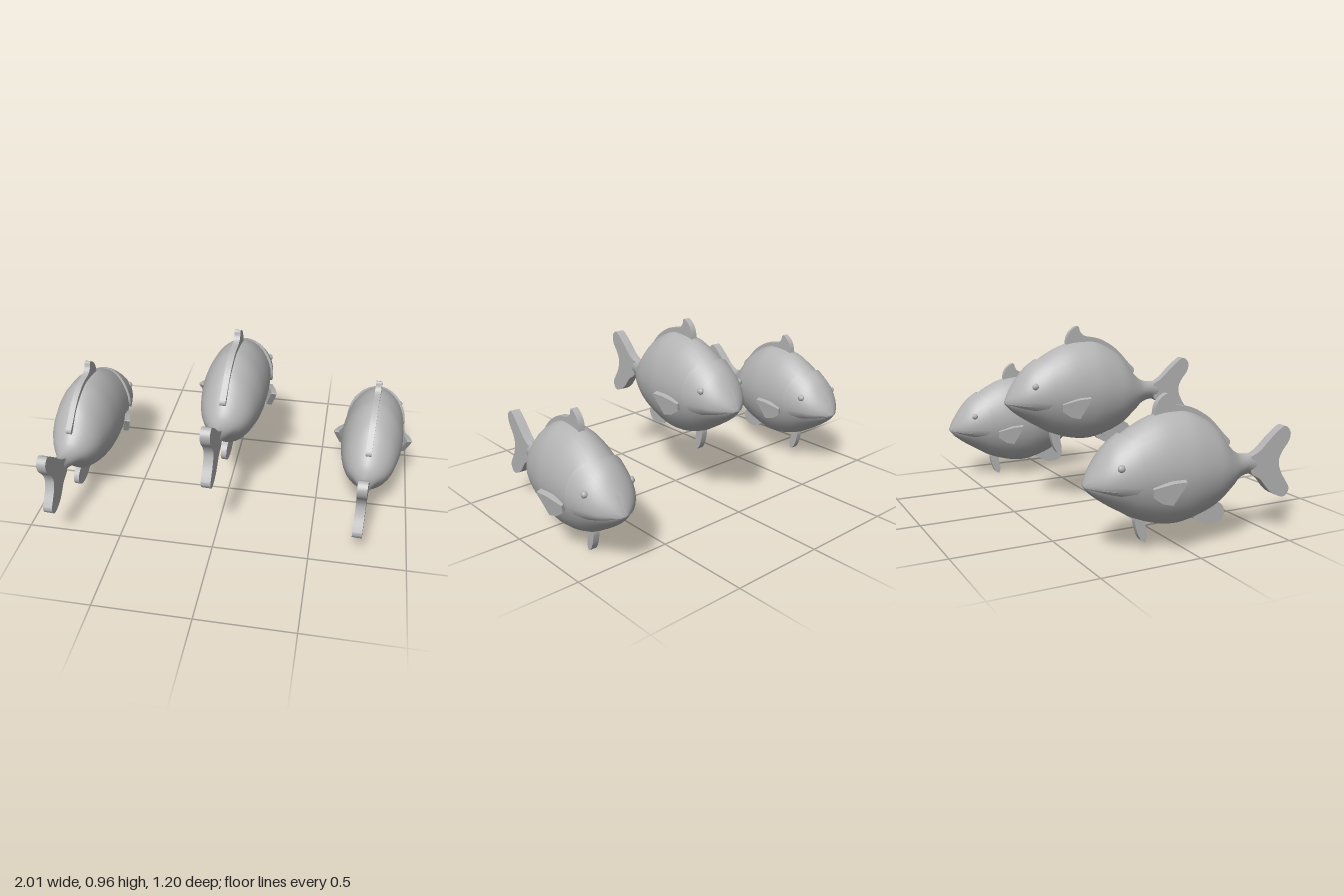
import * as THREE from 'three';
import { toCreasedNormals } from 'three/addons/utils/BufferGeometryUtils.js';

// Body stations from nose to tail root: z, top y, bottom y, half width
const STATIONS = [
  [-0.6, 0.302, 0.288, 0.014], [-0.585, 0.335, 0.268, 0.04], [-0.54, 0.4, 0.23, 0.088],
  [-0.484, 0.463, 0.192, 0.12], [-0.427, 0.505, 0.158, 0.139], [-0.36, 0.548, 0.12, 0.152],
  [-0.267, 0.588, 0.088, 0.163], [-0.17, 0.6, 0.073, 0.167], [-0.08, 0.59, 0.086, 0.163],
  [0.037, 0.523, 0.13, 0.141], [0.117, 0.425, 0.195, 0.105], [0.174, 0.374, 0.245, 0.067],
  [0.24, 0.36, 0.263, 0.034], [0.3, 0.37, 0.25, 0.022],
];
const spline = (f) => new THREE.CatmullRomCurve3(STATIONS.map(f), false, 'catmullrom');
const heights = spline(([z, top, bottom]) => new THREE.Vector3(z, top, bottom));
const widths = spline(([z, , , w]) => new THREE.Vector3(z, w, 0));

// Point on the body skin at depth z and angle t, pushed outward by e
function skin(z, t, e = 0) {
  let lo = 0, hi = 1;
  for (let k = 0; k < 24; k++) {
    const mid = (lo + hi) / 2;
    if (heights.getPoint(mid).x < z) lo = mid; else hi = mid;
  }
  const h = heights.getPoint(lo), w = widths.getPoint(lo).y;
  const c = Math.cos(t), s = Math.sin(t);
  return [
    w * Math.sign(c) * Math.abs(c) ** 1.12 + e * c,
    (h.y + h.z) / 2 + (h.y - h.z) / 2 * Math.sign(s) * Math.abs(s) ** 1.06 + e * s,
    z,
  ];
}

// Closed tube of rows x cols points, rows running toward +z
function loft(rows, cols, point) {
  const pos = [], index = [];
  for (let i = 0; i < rows; i++) {
    for (let j = 0; j < cols; j++) {
      pos.push(...point(i, j / cols * Math.PI * 2));
      if (i === rows - 1) continue;
      const a = i * cols + j, b = i * cols + (j + 1) % cols;
      index.push(a, b, a + cols, b, b + cols, a + cols);
    }
  }
  const g = new THREE.BufferGeometry();
  g.setAttribute('position', new THREE.Float32BufferAttribute(pos, 3));
  g.setIndex(index);
  g.computeVertexNormals();
  return g;
}

function bodyGeometry() {
  const rows = 40;
  return loft(rows, 32, (i, t) => {
    if (i === 0) return [0, 0.295, -0.6];
    return skin(-0.599 + 0.899 * (i - 1) / (rows - 2), t);
  });
}

// Head shell with a curved gill edge that sinks into the body under the cheek
function headGeometry() {
  const rows = 16;
  const g = loft(rows, 40, (i, t) => {
    if (i === 0) return [0, 0.295, -0.603];
    const s = Math.sin(t);
    const rear = s >= 0 ? -0.368 - 0.062 * s ** 3 : Math.max(-0.5, -0.368 - 0.45 * s * s);
    const u = Math.min(1, (i - 1) / (rows - 3));
    const z = -0.599 + (rear + 0.599) * u;
    const cheek = THREE.MathUtils.smoothstep(s, -0.55, -0.3);
    const e = THREE.MathUtils.lerp(-0.004, 0.003 + 0.01 * Math.min(1, (z + 0.6) / 0.1), cheek);
    return skin(z, t, i === rows - 1 ? -0.008 : e);
  });
  return toCreasedNormals(g, 0.8);
}

// Flat fin from a [z, y] outline, thickness across x
function finGeometry(outline, thickness, smooth = true) {
  let pts = outline.map(([z, y]) => new THREE.Vector2(z, y));
  if (smooth) pts = new THREE.SplineCurve([...pts, pts[0]]).getPoints(pts.length * 4).slice(0, -1);
  const g = new THREE.ExtrudeGeometry(new THREE.Shape(pts), { depth: thickness, bevelEnabled: false });
  g.translate(0, 0, -thickness / 2).rotateY(-Math.PI / 2);
  return toCreasedNormals(g, 0.7);
}

const TAIL = [
  [0.25, 0.35], [0.3, 0.378], [0.356, 0.431], [0.414, 0.477], [0.439, 0.482], [0.465, 0.454],
  [0.458, 0.409], [0.42, 0.358], [0.404, 0.31], [0.42, 0.256], [0.455, 0.2], [0.468, 0.17],
  [0.449, 0.137], [0.414, 0.137], [0.356, 0.17], [0.3, 0.235], [0.25, 0.27],
];
const DORSAL = [
  [-0.264, 0.57], [-0.257, 0.624], [-0.235, 0.66], [-0.197, 0.681], [-0.184, 0.65], [-0.155, 0.627],
  [-0.07, 0.608], [0.02, 0.554], [0.094, 0.477], [0.13, 0.439], [0.126, 0.416], [0.09, 0.41],
  [0.02, 0.48], [-0.1, 0.55],
];
const ANAL = [
  [0.05, 0.16], [0.095, 0.134], [0.113, 0.096], [0.1, 0.064], [0.072, 0.046], [0.02, 0.045],
  [-0.027, 0.067], [-0.06, 0.1], [0, 0.16],
];
const PELVIC = [
  [-0.3, 0.12], [-0.303, 0.08], [-0.295, 0.035], [-0.301, 0.006], [-0.311, 0.003], [-0.33, 0.022],
  [-0.347, 0.064], [-0.355, 0.12], [-0.33, 0.15],
];
const PECTORAL = [
  [0, -0.02], [0, 0.018], [0.09, 0.044], [0.145, 0.05], [0.148, 0.043], [0.09, -0.06], [0.045, -0.052],
];

export function createModel() {
  const model = new THREE.Group();
  model.name = 'fishSchool';
  const grey = new THREE.MeshStandardMaterial({ color: 0xb4b4b4 });
  grey.name = 'grey';

  const fish = new THREE.Group();
  const add = (name, geometry) => {
    const mesh = new THREE.Mesh(geometry, grey);
    mesh.name = name;
    fish.add(mesh);
    return mesh;
  };

  add('body', bodyGeometry());
  add('head', headGeometry());
  add('tailFin', finGeometry(TAIL, 0.05));
  add('dorsalFin', finGeometry(DORSAL, 0.032));
  add('analFin', finGeometry(ANAL, 0.03));
  add('pelvicFin', finGeometry(PELVIC, 0.032));

  // Paired side fins and eyes
  const pectoral = finGeometry(PECTORAL, 0.03, false);
  const eye = new THREE.SphereGeometry(0.018, 8, 6);
  for (const side of [1, -1]) {
    const label = side > 0 ? 'left' : 'right';
    const fin = add(label + 'PectoralFin', pectoral);
    fin.position.set(side * 0.15, 0.278, -0.335);
    fin.rotation.set(0, side * 0.32, -side * 0.16);
    const [x, y, z] = skin(-0.471, 0.42, 0.009);
    add(label + 'Eye', eye).position.set(side * x, y, z);
  }

  // Three fish swimming side by side, slightly turned
  [[0.768, 0, 0], [0.013, 0.28, 0.08], [-0.81, 0.04, 0.13]].forEach((p, i) => {
    const copy = fish.clone();
    copy.name = 'fish' + (i + 1);
    copy.position.set(...p);
    copy.rotation.y = -0.07;
    model.add(copy);
  });
  return model;
}
